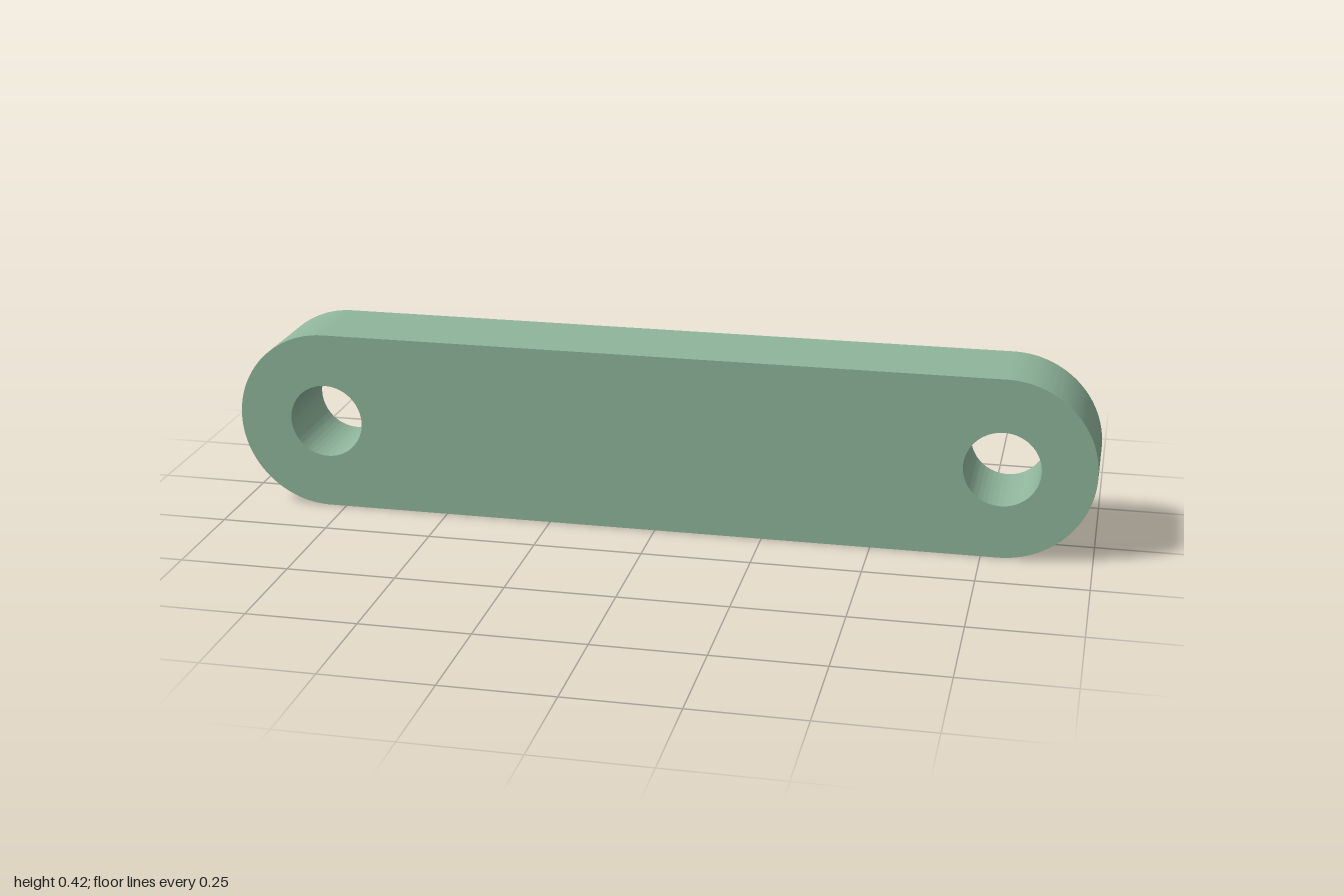
import * as THREE from 'three';
import { toCreasedNormals } from 'three/addons/utils/BufferGeometryUtils.js';

const R = 4 / 19;         // end radius, also the bar thickness
const HOLE = 1.65 / 19;   // pin hole radius
const CX = 1 - R;         // pin hole centre

export function createModel() {
  const group = new THREE.Group();
  group.name = 'linkBar';

  // Rounded bar outline
  const outline = new THREE.Shape();
  outline.moveTo(-CX, -R);
  outline.lineTo(CX, -R);
  outline.absarc(CX, 0, R, -Math.PI / 2, Math.PI / 2, false);
  outline.lineTo(-CX, R);
  outline.absarc(-CX, 0, R, Math.PI / 2, Math.PI * 1.5, false);

  // A pin hole through each end
  for (const side of [-1, 1]) {
    const hole = new THREE.Path();
    hole.absarc(side * CX, 0, HOLE, 0, Math.PI * 2, true);
    outline.holes.push(hole);
  }

  const extruded = new THREE.ExtrudeGeometry(outline, { depth: R, bevelEnabled: false, curveSegments: 48 });
  extruded.translate(0, R, -R / 2);

  const bar = new THREE.Mesh(
    toCreasedNormals(extruded, Math.PI / 6),
    new THREE.MeshStandardMaterial({ color: 0x8fb59b })
  );
  bar.name = 'bar';
  group.add(bar);
  return group;
}
